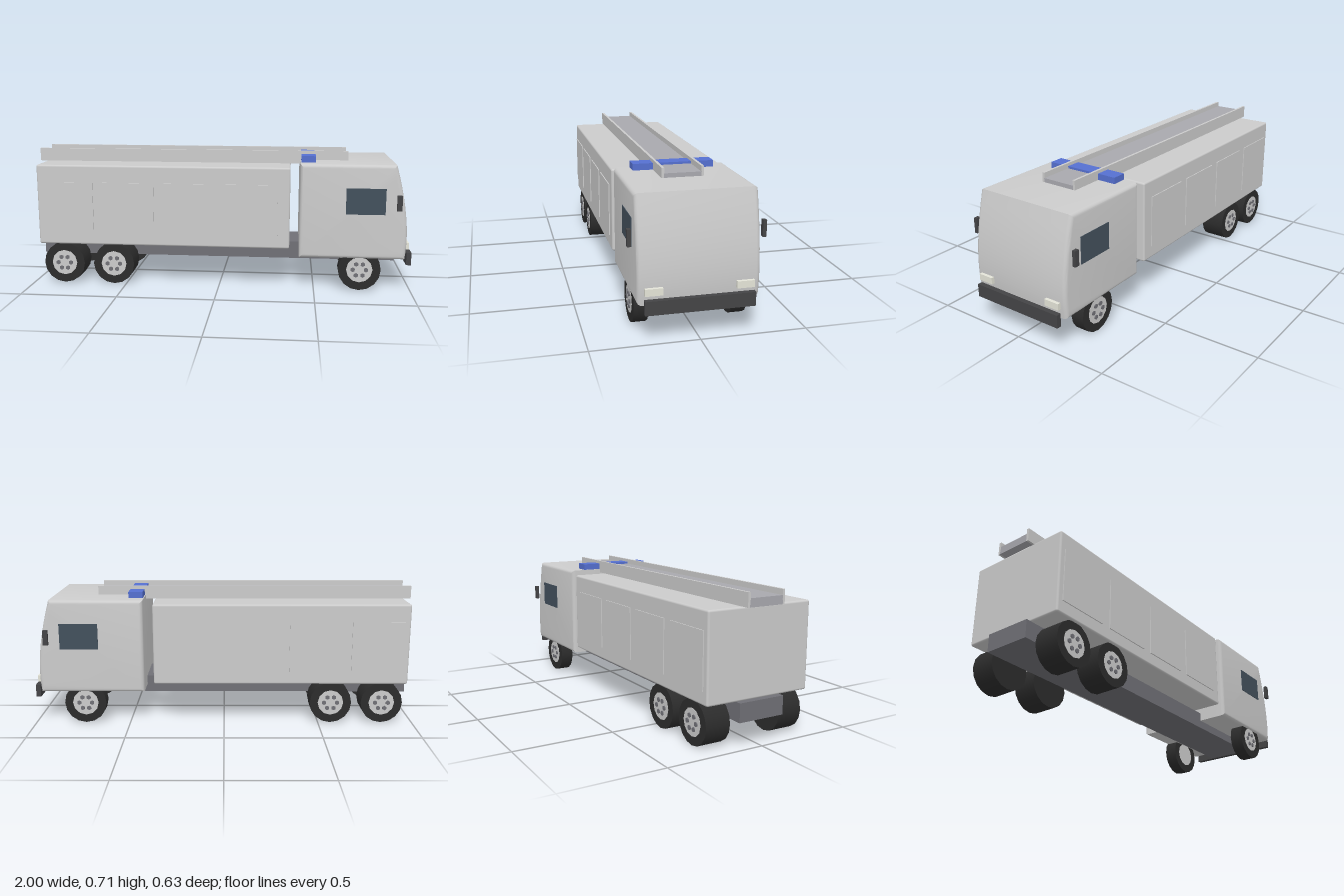
import * as THREE from 'three';
import { toCreasedNormals } from 'three/addons/utils/BufferGeometryUtils.js';
import { RoundedBoxGeometry } from 'three/addons/geometries/RoundedBoxGeometry.js';

const mat = (color) => new THREE.MeshStandardMaterial({ color });
const grey = mat(0xcccccc);
const frameGrey = mat(0x707076);
const dark = mat(0x444446);
const rubber = mat(0x2c2c2c);
const glass = mat(0x43505c);
const blue = mat(0x5570d0);
const trayGrey = mat(0xa8a8ae);
const lampWhite = mat(0xe4e4d8);

export function createModel() {
  const truck = new THREE.Group();
  truck.name = 'truck';

  const add = (name, geometry, material, parent = truck) => {
    const mesh = new THREE.Mesh(geometry, material);
    mesh.name = name;
    parent.add(mesh);
    return mesh;
  };
  // Box given by its limits along each axis
  const box = (name, material, x0, x1, y0, y1, z0, z1, radius = 0) => {
    const size = [x1 - x0, y1 - y0, z1 - z0];
    const geometry = radius
      ? new RoundedBoxGeometry(...size, 3, radius)
      : new THREE.BoxGeometry(...size);
    const mesh = add(name, geometry, material);
    mesh.position.set((x0 + x1) / 2, (y0 + y1) / 2, (z0 + z1) / 2);
    return mesh;
  };
  // Same box on both sides of the truck
  const pair = (name, material, x0, x1, y0, y1, z0, z1) => {
    box(name + 'Left', material, x0, x1, y0, y1, -z1, -z0);
    box(name + 'Right', material, x0, x1, y0, y1, z0, z1);
  };

  // Chassis and equipment body with shutters
  box('chassis', frameGrey, -0.99, 0.93, 0.125, 0.216, -0.122, 0.122);
  box('body', grey, -0.965, 0.37, 0.215, 0.64, -0.281, 0.281, 0.01);
  for (let i = 0; i < 4; i++) {
    const x = -0.935 + i * 0.324;
    pair('shutter' + (i + 1), grey, x, x + 0.27, 0.28, 0.55, 0.275, 0.286);
  }

  // Cab: side profile with a curved front, rounded along its side edges
  const bevel = 0.02;
  const profile = new THREE.Shape();
  profile.moveTo(0.42, 0.17);
  profile.lineTo(0.963, 0.17);
  profile.quadraticCurveTo(0.992, 0.36, 0.905, 0.66);
  profile.lineTo(0.42, 0.66);
  profile.closePath();
  const cab = new THREE.ExtrudeGeometry(profile, {
    depth: 0.56 - 2 * bevel,
    bevelSize: bevel,
    bevelOffset: -bevel,
    bevelThickness: bevel,
    bevelSegments: 4,
    curveSegments: 10,
  });
  cab.translate(0, 0, -0.28 + bevel);
  add('cab', toCreasedNormals(cab, 0.5), grey);

  // Cab fittings
  pair('sideWindow', glass, 0.655, 0.855, 0.405, 0.54, 0.272, 0.283);
  pair('mirror', dark, 0.908, 0.933, 0.432, 0.51, 0.298, 0.315);
  pair('headlight', lampWhite, 0.955, 0.986, 0.22, 0.253, 0.168, 0.249);
  box('bumper', dark, 0.975, 1, 0.136, 0.202, -0.252, 0.252);
  box('lightBar', blue, 0.425, 0.5, 0.655, 0.692, -0.2, 0.2);

  // Roof ladder: tray with a raised rail on each side
  box('ladderTray', trayGrey, -1, 0.673, 0.64, 0.681, -0.09, 0.09);
  pair('ladderRail', grey, -1, 0.673, 0.64, 0.708, 0.088, 0.101);

  // Wheels: axis along z, outer face towards +z before turning
  const wheel = (name, x, side, width) => {
    const group = new THREE.Group();
    group.name = name;
    const disc = (part, radius, depth, sides, material) => {
      const geometry = new THREE.CylinderGeometry(radius, radius, depth, sides);
      geometry.rotateX(Math.PI / 2);
      return add(part, geometry, material, group);
    };
    disc('tyre', 0.11, width, 16, rubber);
    const hubDepth = 0.072;
    disc('hub', 0.068, hubDepth, 12, grey).position.z = (width - 0.07) / 2;
    for (let i = 0; i < 6; i++) {
      const angle = (i * Math.PI) / 3;
      const lug = disc('wheelNut', 0.012, 0.02, 6, frameGrey);
      lug.position.set(0.034 * Math.cos(angle), 0.034 * Math.sin(angle), width / 2 - 0.004);
    }
    group.position.set(x, 0.11, side * (0.27 - width / 2));
    if (side < 0) group.rotation.y = Math.PI;
    truck.add(group);
  };
  for (const side of [1, -1]) {
    wheel('frontWheel', 0.735, side, 0.07);
    wheel('middleWheel', -0.565, side, 0.13);
    wheel('rearWheel', -0.835, side, 0.13);
  }

  return truck;
}
